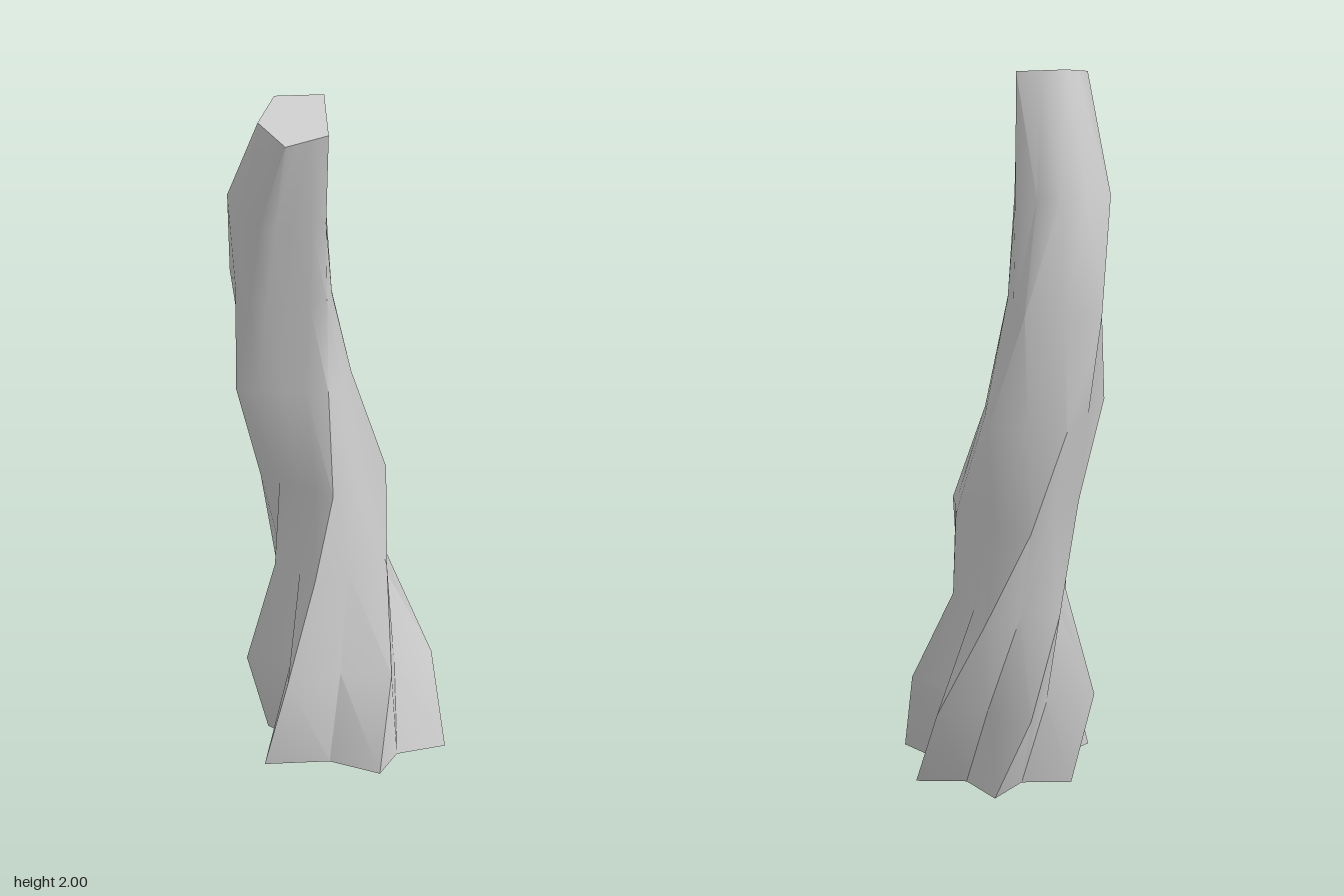
import * as THREE from 'three';
import { toCreasedNormals } from 'three/addons/utils/BufferGeometryUtils.js';

// Levels from foot to tip: y = height + tilt * z; pinch moves the grooves between
// ridges in (< 1) or out (> 1), one value for all or one per groove;
// ridges are x, z pairs in order around the trunk.
// The fourth ridge exists only near the foot; null blends it into the wall.
const LEVELS = [
  { height: 0.027, tilt: 0.14, pinch: [0.74, 0.76, 0.6, 0.72, 0.7, 0.58], ridges: [[0.262, 0.18], [0.05, 0.313], [-0.23, 0.155], [-0.16, -0.095], [0.055, -0.19], [0.255, -0.06]] },
  { height: 0.265, tilt: 0.2, pinch: [0.75, 0.75, 0.7, 0.74, 0.76, 0.7], ridges: [[0.255, 0.055], [0.11, 0.2], [-0.17, 0.17], [-0.225, -0.07], [-0.04, -0.22], [0.21, -0.17]] },
  { height: 0.55, tilt: 0.19, pinch: 0.86, ridges: [[0.155, -0.055], [0.132, 0.055], [-0.08, 0.11], [-0.15, -0.06], [-0.12, -0.2], [0.09, -0.26]] },
  { height: 0.815, tilt: 0.14, pinch: 0.98, ridges: [[0.158, -0.165], [0.155, -0.05], [-0.03, 0.11], null, [-0.18, -0.1], [-0.03, -0.315]] },
  { height: 1.098, tilt: 0.16, pinch: 1.05, ridges: [[0.075, -0.24], [0.075, -0.12], [-0.02, 0.015], null, [-0.25, -0.09], [-0.13, -0.298]] },
  { height: 1.38, tilt: 0.08, pinch: 1.08, ridges: [[-0.02, -0.245], [0.012, -0.1], [-0.02, 0], null, [-0.225, -0.05], [-0.228, -0.255]] },
  { height: 1.645, tilt: -0.15, pinch: 1.06, ridges: [[-0.12, -0.225], [-0.005, -0.14], [-0.03, 0.03], null, [-0.215, 0.02], [-0.263, -0.14]] },
  { height: 1.975, tilt: -0.36, pinch: 1, ridges: [[-0.15, -0.07], [-0.015, -0.055], [-0.035, 0.08], null, [-0.16, 0.1], [-0.215, 0.01]] },
];

const middle = (a, b) => [(a[0] + b[0]) / 2, (a[1] + b[1]) / 2];

// Ring of alternating ridge and groove points, plus its centre
function makeRing({ height, tilt, pinch, ridges }) {
  const solid = ridges.map((r) => r ?? middle(ridges[2], ridges[4]));
  const centre = [0, 1].map((k) => solid.reduce((sum, p) => sum + p[k], 0) / solid.length);
  const place = ([x, z]) => new THREE.Vector3(x, height + tilt * z, z);
  const points = solid.flatMap((p, i) => {
    const m = middle(p, solid[(i + 1) % solid.length]);
    const groove = m.map((v, k) => centre[k] + (v - centre[k]) * (pinch[i] ?? pinch));
    return [place(p), place(groove)];
  });
  return { points, centre: place(centre) };
}

function makeTrunk() {
  const rings = LEVELS.map(makeRing);
  const foot = rings[0], tip = rings[rings.length - 1];
  const count = foot.points.length;
  const corners = [];
  for (let i = 0; i < count; i++) {
    const j = (i + 1) % count;
    // Twisting wall
    for (let r = 0; r < rings.length - 1; r++) {
      const low = rings[r].points, high = rings[r + 1].points;
      corners.push(low[i], high[i], high[j], low[i], high[j], low[j]);
    }
    // Cut ends
    corners.push(foot.centre, foot.points[i], foot.points[j]);
    corners.push(tip.centre, tip.points[j], tip.points[i]);
  }
  return toCreasedNormals(new THREE.BufferGeometry().setFromPoints(corners), Math.PI / 3);
}

export function createModel() {
  const group = new THREE.Group();
  group.name = 'twistedTrunk';
  const trunk = new THREE.Mesh(makeTrunk(), new THREE.MeshStandardMaterial({ color: 0xcccccc }));
  trunk.name = 'trunk';
  group.add(trunk);
  return group;
}
